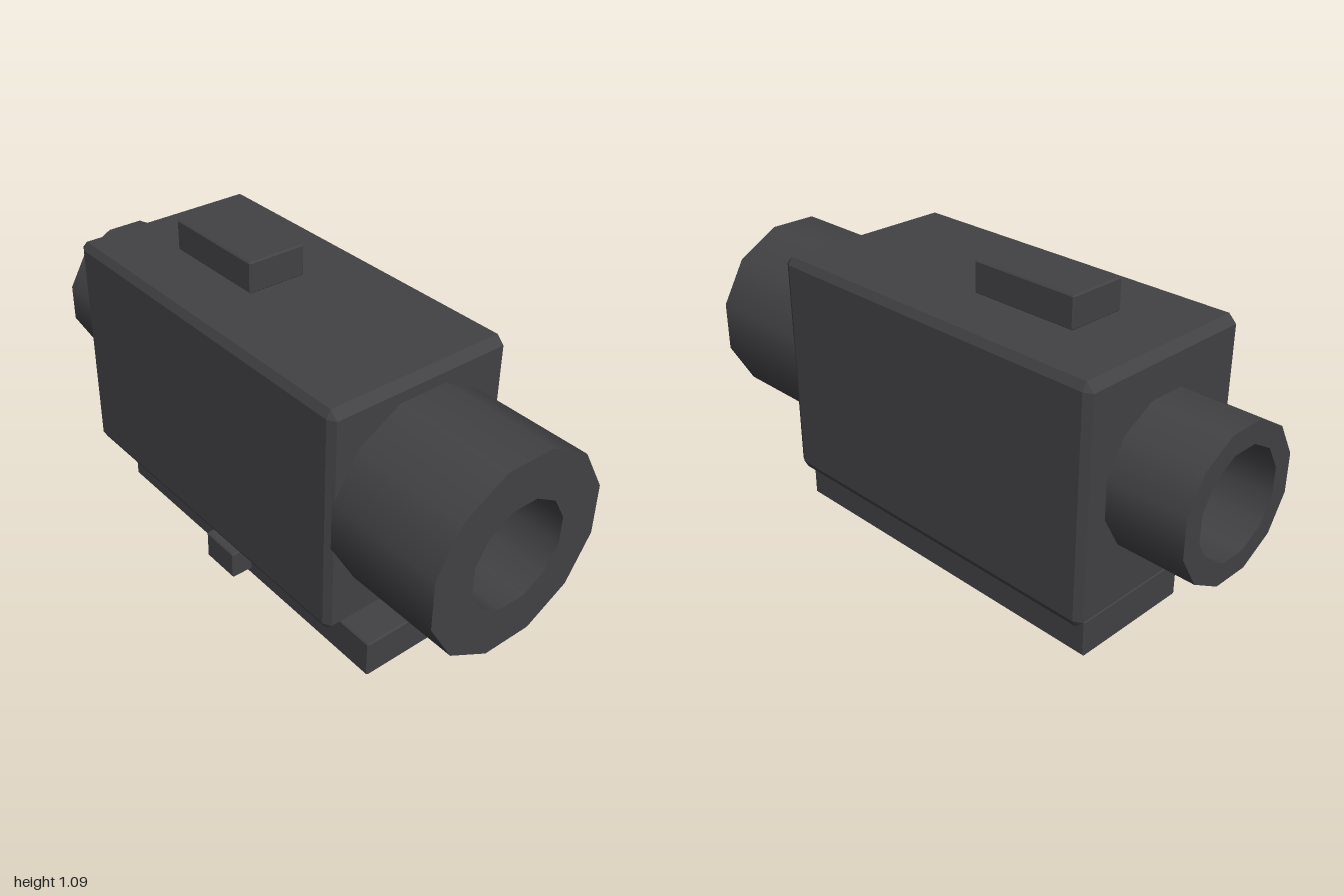
import * as THREE from 'three';
import { mergeGeometries } from 'three/addons/utils/BufferGeometryUtils.js';

const SIDES = 12, AXIS_Y = 0.602, BORE = 0.18;

// Box with chamfers [bx, by, bz]; optionally a round bore through both x ends
function chamferBox([x0, x1], [y0, y1], [z0, z1], [bx, by, bz], bored = false) {
  const hx = (x1 - x0) / 2, hy = (y1 - y0) / 2, hz = (z1 - z0) / 2;
  const cx = (x0 + x1) / 2, cy = (y0 + y1) / 2, cz = (z0 + z1) / 2;
  const corners = [[1, 1], [-1, 1], [-1, -1], [1, -1]];
  const section = (x, full) => corners.flatMap(([sy, sz]) => {
    const onY = [x, sy * (full ? hy : hy - by), sz * (hz - bz)];
    const onZ = [x, sy * (hy - by), sz * (full ? hz : hz - bz)];
    return sy * sz > 0 ? [onY, onZ] : [onZ, onY];
  });
  const rows = [section(-hx, false), section(-hx + bx, true), section(hx - bx, true), section(hx, false)];
  const pos = [];
  for (let i = 0; i < 3; i++) for (let j = 0; j < 8; j++) {
    const k = (j + 1) % 8;
    const a = rows[i][j], b = rows[i][k], c = rows[i + 1][k], d = rows[i + 1][j];
    pos.push(...a, ...b, ...c, ...a, ...c, ...d);
  }
  const skin = new THREE.BufferGeometry();
  skin.setAttribute('position', new THREE.Float32BufferAttribute(pos, 3));
  skin.computeVertexNormals();

  // End faces
  const ez = hz - bz, ey = hy - by;
  const shape = new THREE.Shape([[-ez, -ey], [ez, -ey], [ez, ey], [-ez, ey]].map(p => new THREE.Vector2(...p)));
  if (bored) {
    const ring = Array.from({ length: SIDES }, (_, i) => {
      const t = (i + 0.5) / SIDES * Math.PI * 2;
      return new THREE.Vector2(BORE * Math.cos(t), AXIS_Y - cy + BORE * Math.sin(t));
    });
    shape.holes.push(new THREE.Path(ring));
  }
  const ends = [1, -1].map(s => {
    const g = new THREE.ShapeGeometry(shape).rotateY(s * Math.PI / 2).translate(s * hx, 0, 0).toNonIndexed();
    g.deleteAttribute('uv');
    return g;
  });
  return mergeGeometries([skin, ...ends]).translate(cx, cy, cz);
}

// Twelve-sided surface along x from a [radius, x] profile, sharp at each profile point
function turned(profile) {
  const parts = profile.slice(1).map((p, i) => new THREE.LatheGeometry(
    [new THREE.Vector2(...profile[i]), new THREE.Vector2(...p)], SIDES, Math.PI / SIDES));
  return mergeGeometries(parts).rotateZ(-Math.PI / 2).translate(0, AXIS_Y, 0);
}

export function createModel() {
  const model = new THREE.Group();
  model.name = 'opticalSight';
  const darkGrey = new THREE.MeshStandardMaterial({ color: 0x424245 });
  darkGrey.name = 'darkGrey';
  const add = (name, geometry) => {
    const mesh = new THREE.Mesh(geometry, darkGrey);
    mesh.name = name;
    model.add(mesh);
  };
  const fine = [0.005, 0.005, 0.005];

  // Housing with the bore running through it
  add('housing', chamferBox([-0.73, 0.597], [0.19, 0.987], [-0.332, 0.332], [0.027, 0.027, 0.015], true));
  add('bore', turned([[BORE, 0.597], [BORE, -0.73]]));

  // Wide and narrow tubes at the two ends
  add('wideTube', turned([[0.333, 0.572], [0.333, 1], [BORE, 1], [BORE, 0.597]]));
  add('narrowTube', turned([[BORE, -0.73], [BORE, -1], [0.252, -1], [0.252, -0.71]]));

  // Button on top, mounting rail below and its clamp knob
  add('topButton', chamferBox([-0.468, -0.07], [0.985, 1.094], [-0.106, 0.106], fine));
  add('mountRail', chamferBox([-0.664, 0.664], [0, 0.133], [-0.226, 0.226], fine));
  add('clampKnob', chamferBox([-0.077, 0.073], [0.03, 0.133], [0.226, 0.307], fine));
  return model;
}
